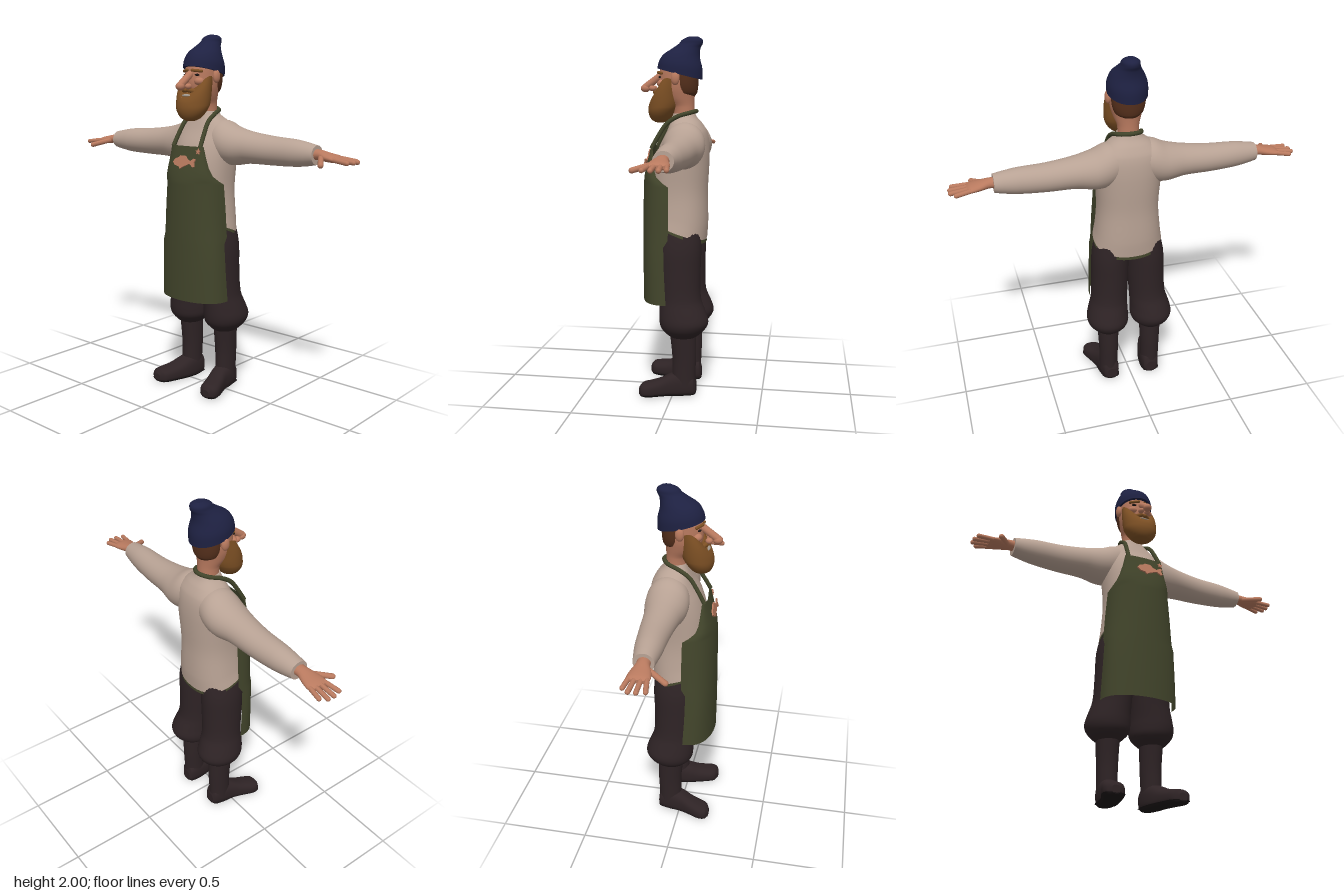
import * as THREE from 'three';

const mat = (name, color, side = THREE.FrontSide) => {
  const m = new THREE.MeshStandardMaterial({ color, side });
  m.name = name;
  return m;
};

// Smooth tube through elliptical sections [t, a, b, ra, rb] placed along an axis (t ascending)
function loft(axis, rows, { seg = 32, sub = 4, square = 1, rule } = {}) {
  const slope = (i, k) => {
    const p = rows[Math.max(i - 1, 0)], q = rows[Math.min(i + 1, rows.length - 1)];
    return (q[k] - p[k]) / (q[0] - p[0]);
  };
  const sections = [];
  for (let i = 0; i < rows.length - 1; i++) {
    const p = rows[i], q = rows[i + 1], d = q[0] - p[0];
    for (let s = 0; s < sub; s++) {
      const u = s / sub, u2 = u * u, u3 = u2 * u;
      sections.push(p.map((v, k) => k === 0 ? v + d * u :
        (2 * u3 - 3 * u2 + 1) * v + (u3 - 2 * u2 + u) * d * slope(i, k) +
        (3 * u2 - 2 * u3) * q[k] + (u3 - u2) * d * slope(i + 1, k)));
    }
  }
  sections.push(rows[rows.length - 1]);
  const pos = [], index = [];
  const pow = v => Math.sign(v) * Math.abs(v) ** square;
  const ring = ([t, a, b, ra, rb]) => {
    for (let j = 0; j < seg; j++) {
      const th = j / seg * Math.PI * 2, c = pow(Math.cos(th)), s = pow(Math.sin(th));
      const p = axis === 'y' ? [a + ra * c, t, b + rb * s]
        : axis === 'x' ? [t, a + ra * s, b + rb * c] : [a + ra * s, b + rb * c, t];
      if (rule) rule(p);
      pos.push(...p);
    }
  };
  sections.forEach(ring);
  for (let i = 0; i < sections.length - 1; i++) for (let j = 0; j < seg; j++) {
    const A = i * seg + j, C = i * seg + (j + 1) % seg, B = A + seg, D = C + seg;
    index.push(A, B, C, C, B, D);
  }
  // end caps
  for (const end of [0, sections.length - 1]) {
    const base = pos.length / 3, mid = [0, 0, 0];
    ring(sections[end]);
    for (let j = 0; j < seg; j++) for (let k = 0; k < 3; k++) mid[k] += pos[(base + j) * 3 + k] / seg;
    pos.push(...mid);
    for (let j = 0; j < seg; j++) {
      const a = base + j, b = base + (j + 1) % seg;
      index.push(base + seg, ...(end ? [b, a] : [a, b]));
    }
  }
  return surface(pos, index);
}

function surface(pos, index) {
  const g = new THREE.BufferGeometry();
  g.setAttribute('position', new THREE.Float32BufferAttribute(pos, 3));
  g.setIndex(index);
  g.computeVertexNormals();
  return g;
}

// Mirror across x with the corner order turned round
function mirrored(geo) {
  const g = geo.clone().scale(-1, 1, 1), ix = g.index.array;
  for (let i = 0; i < ix.length; i += 3) [ix[i], ix[i + 1]] = [ix[i + 1], ix[i]];
  g.computeVertexNormals();
  return g;
}

// Rounded rod between two points
function rod(p, q, r) {
  const a = new THREE.Vector3(...p), b = new THREE.Vector3(...q), d = b.clone().sub(a);
  const g = new THREE.CapsuleGeometry(r, d.length(), 6, 12);
  g.applyQuaternion(new THREE.Quaternion().setFromUnitVectors(new THREE.Vector3(0, 1, 0), d.normalize()));
  return g.translate(...a.add(b).multiplyScalar(0.5).toArray());
}

const ball = (x, y, z, rx, ry, rz) => new THREE.SphereGeometry(1, 20, 14).scale(rx, ry, rz).translate(x, y, z);

export function createModel() {
  const sweater = mat('sweater wool', 0xb8a294), skin = mat('skin', 0xb97a5f);
  const green = mat('apron green', 0x42452b, THREE.DoubleSide), dark = mat('trouser brown', 0x2e2325);
  const navy = mat('hat navy', 0x1e2142), ginger = mat('beard ginger', 0x7d5024);
  const brown = mat('hair brown', 0x56301c), black = mat('sole black', 0x1b1516);
  const ivory = mat('teeth', 0xa39a90);

  const model = new THREE.Group();
  model.name = 'fishmonger';
  const add = (name, geo, m) => {
    const mesh = new THREE.Mesh(geo, m);
    mesh.name = name;
    model.add(mesh);
  };
  const pair = (name, geo, m) => {
    add('left' + name, geo, m);
    add('right' + name, mirrored(geo), m);
  };

  // Sweater body, with a hem that drops toward the back
  const hem = p => { p[1] += 0.4 * (p[2] + 0.07) * THREE.MathUtils.clamp((1.1 - p[1]) / 0.2, 0, 1); };
  add('sweaterBody', loft('y', [
    [0.92, 0, -0.015, 0.196, 0.155], [1.0, 0, -0.018, 0.184, 0.158], [1.15, 0, -0.018, 0.172, 0.155],
    [1.3, 0, -0.028, 0.18, 0.152], [1.4, 0, -0.042, 0.186, 0.138], [1.48, 0, -0.056, 0.175, 0.112],
    [1.53, 0, -0.052, 0.125, 0.088], [1.56, 0, -0.044, 0.082, 0.07], [1.585, 0, -0.04, 0.062, 0.06],
  ], { seg: 48, square: 0.88, rule: hem }), sweater);
  add('shirtHem', loft('y', [[0.903, 0, -0.015, 0.196, 0.153], [0.94, 0, -0.015, 0.188, 0.15]],
    { seg: 48, square: 0.88, rule: hem }), green);

  // Sleeves
  pair('Sleeve', loft('x', [
    [0.06, 1.435, -0.06, 0.1, 0.1], [0.13, 1.418, -0.06, 0.12, 0.115], [0.2, 1.4, -0.06, 0.108, 0.113],
    [0.3, 1.396, -0.06, 0.088, 0.094], [0.45, 1.388, -0.062, 0.078, 0.08], [0.6, 1.386, -0.056, 0.071, 0.07],
    [0.68, 1.385, -0.052, 0.06, 0.06], [0.73, 1.385, -0.049, 0.05, 0.053],
  ]), sweater);

  // Hands
  pair('Palm', loft('x', [
    [0.7, 1.388, -0.048, 0.03, 0.036], [0.75, 1.388, -0.046, 0.027, 0.034],
    [0.8, 1.38, -0.044, 0.024, 0.05], [0.85, 1.374, -0.045, 0.019, 0.058], [0.872, 1.371, -0.045, 0.01, 0.05],
  ], { seg: 20 }), skin);
  [[-0.088, 0.925, -0.1], [-0.06, 0.952, -0.068], [-0.03, 0.952, -0.03], [-0.003, 0.94, 0.012]].forEach(([z0, x1, z1], i) =>
    pair('Finger' + (i + 1), rod([0.85, 1.374, z0], [x1, 1.364, z1], 0.0125), skin));
  pair('Thumb', rod([0.775, 1.378, -0.015], [0.833, 1.352, 0.078], 0.0145), skin);

  // Trousers gathered below the knee
  pair('TrouserLeg', loft('y', [
    [0.335, 0.13, -0.055, 0.055, 0.065], [0.355, 0.13, -0.055, 0.08, 0.092], [0.39, 0.13, -0.057, 0.112, 0.125],
    [0.43, 0.132, -0.06, 0.122, 0.138], [0.48, 0.128, -0.052, 0.116, 0.132], [0.56, 0.116, -0.036, 0.106, 0.118],
    [0.7, 0.108, -0.028, 0.106, 0.122], [0.85, 0.104, -0.025, 0.103, 0.128], [1.0, 0.09, -0.02, 0.08, 0.12],
  ]), dark);

  // Boots with toes turned out
  pair('BootShaft', loft('y', [
    [0.05, 0.13, -0.06, 0.054, 0.066], [0.12, 0.13, -0.06, 0.054, 0.066],
    [0.22, 0.129, -0.062, 0.057, 0.068], [0.36, 0.13, -0.055, 0.063, 0.074],
  ]), dark);
  const foot = (lo, hi, grow) => loft('z', [
    [-0.128, 0.124, 0.04, 0.03, 0.035], [-0.115, 0.125, 0.055, 0.045, 0.06], [-0.06, 0.129, 0.06, 0.055, 0.078],
    [0.01, 0.138, 0.05, 0.056, 0.07], [0.07, 0.157, 0.04, 0.059, 0.053], [0.13, 0.178, 0.034, 0.061, 0.045],
    [0.168, 0.185, 0.032, 0.05, 0.038], [0.185, 0.188, 0.028, 0.022, 0.022],
  ].map(([z, x, y, rx, ry]) => [z, x, y, rx + grow, ry]),
  { seg: 40, square: 0.8, rule: p => { p[1] = THREE.MathUtils.clamp(p[1], lo, hi); } });
  pair('BootFoot', foot(0.012, 1, 0), dark);
  pair('BootSole', foot(0, 0.014, 0.002), black);

  // Apron: rows of [y, half width, front z, side edge z]
  const rows = [
    [1.4, 0.115, 0.14, 0.118], [1.34, 0.126, 0.157, 0.112], [1.28, 0.142, 0.172, 0.105], [1.24, 0.156, 0.18, 0.09],
    [1.21, 0.17, 0.184, 0.055], [1.19, 0.178, 0.186, 0.022], [1.05, 0.19, 0.188, 0.02], [0.9, 0.2, 0.188, 0.02],
    [0.86, 0.203, 0.188, 0.045], [0.7, 0.21, 0.188, 0.04], [0.535, 0.216, 0.186, 0.03],
  ];
  const pos = [], index = [], n = 32;
  rows.forEach(([y, w, zf, ze], i) => {
    for (let j = 0; j <= n; j++) {
      const a = (j / n - 0.5) * Math.PI;
      pos.push(w * Math.sin(a), y, ze + (zf - ze) * Math.max(Math.cos(a), 0) ** 0.75);
      if (i && j) {
        const D = i * (n + 1) + j, C = D - 1, B = D - n - 1, A = B - 1;
        index.push(A, C, B, B, C, D);
      }
    }
  });
  add('apron', surface(pos, index), green);

  // Neck strap
  const half = [[0.098, 1.395, 0.128], [0.092, 1.46, 0.092], [0.084, 1.53, 0.045], [0.078, 1.57, -0.015], [0.055, 1.59, -0.08]];
  const strap = [...half, [0, 1.598, -0.108], ...half.map(([x, y, z]) => [-x, y, z]).reverse()];
  add('apronStrap', new THREE.TubeGeometry(
    new THREE.CatmullRomCurve3(strap.map(p => new THREE.Vector3(...p))), 64, 0.012, 8), green);

  // Fish and star patches on the bib
  const patch = (pts, x, y, z) => new THREE.ExtrudeGeometry(
    new THREE.Shape(pts.map(p => new THREE.Vector2(...p))), { depth: 0.008, bevelEnabled: false })
    .rotateX(-0.245).translate(x, y, z);
  add('fishPatch', patch([[-0.068, -0.004], [-0.05, -0.022], [-0.02, -0.028], [-0.012, -0.04], [0.008, -0.028],
    [0.035, -0.016], [0.055, -0.008], [0.078, -0.026], [0.09, -0.022], [0.084, 0], [0.092, 0.02], [0.078, 0.022],
    [0.055, 0.006], [0.03, 0.018], [0.016, 0.034], [-0.018, 0.034], [-0.028, 0.024], [-0.052, 0.016]], 0.005, 1.315, 0.163), skin);
  add('starPatch', patch(Array.from({ length: 10 }, (_, i) => {
    const r = i % 2 ? 0.008 : 0.018, a = Math.PI / 2 + i * Math.PI / 5;
    return [r * Math.cos(a), r * Math.sin(a)];
  }), 0.095, 1.373, 0.136), skin);

  // Neck and head
  add('head', loft('y', [
    [1.52, 0, -0.038, 0.06, 0.06], [1.62, 0, -0.036, 0.058, 0.06], [1.67, 0, -0.012, 0.075, 0.086],
    [1.72, 0, -0.002, 0.088, 0.102], [1.78, 0, -0.004, 0.092, 0.104], [1.84, 0, -0.01, 0.09, 0.1], [1.88, 0, -0.015, 0.07, 0.08],
  ]), skin);
  add('hair', loft('y', [
    [1.68, 0, -0.045, 0.055, 0.055], [1.7, 0, -0.046, 0.076, 0.066], [1.75, 0, -0.046, 0.09, 0.072], [1.83, 0, -0.045, 0.093, 0.076],
  ]), brown);
  pair('Ear', ball(0.1, 1.775, -0.005, 0.017, 0.036, 0.024), skin);
  pair('Cheek', ball(0.048, 1.748, 0.078, 0.03, 0.022, 0.026), skin);
  pair('Eye', ball(0.04, 1.783, 0.087, 0.016, 0.006, 0.01), black);
  pair('Brow', rod([0.018, 1.808, 0.102], [0.064, 1.803, 0.076], 0.008), ginger);
  add('noseBridge', rod([0, 1.785, 0.1], [0, 1.728, 0.178], 0.02), skin);
  add('noseTip', ball(0, 1.722, 0.178, 0.024, 0.022, 0.027), skin);
  pair('Nostril', ball(0.02, 1.722, 0.135, 0.017, 0.016, 0.02), skin);

  // Beard rising into sideburns, moustache and smile
  add('beard', loft('y', [
    [1.535, 0, 0.095, 0.025, 0.025], [1.55, 0, 0.094, 0.058, 0.05], [1.59, 0, 0.086, 0.09, 0.074],
    [1.63, 0, 0.073, 0.102, 0.084], [1.66, 0, 0.062, 0.103, 0.08], [1.695, 0, 0.04, 0.096, 0.072],
  ], { rule: p => { p[1] += Math.max(p[1] - 1.62, 0) * 1.2 * (p[0] / 0.1) ** 2; } }), ginger);
  pair('Moustache', rod([0.012, 1.702, 0.122], [0.056, 1.69, 0.095], 0.013), ginger);
  add('teeth', ball(0, 1.672, 0.118, 0.042, 0.009, 0.022), ivory);
  add('lowerLip', rod([-0.026, 1.657, 0.135], [0.026, 1.657, 0.135], 0.007), skin);

  // Knitted hat, lower at the back, crown slumped backward
  add('hat', loft('y', [
    [1.8, 0, -0.015, 0.108, 0.125], [1.85, 0, -0.02, 0.106, 0.12], [1.9, 0, -0.026, 0.088, 0.1],
    [1.94, 0, -0.053, 0.062, 0.076], [1.962, 0, -0.075, 0.051, 0.066], [1.985, 0, -0.085, 0.045, 0.055], [2.0, 0, -0.09, 0.022, 0.028],
  ], { rule: p => { p[1] += 0.25 * (p[2] + 0.015) * THREE.MathUtils.clamp((1.95 - p[1]) / 0.15, 0, 1); } }), navy);

  return model;
}
